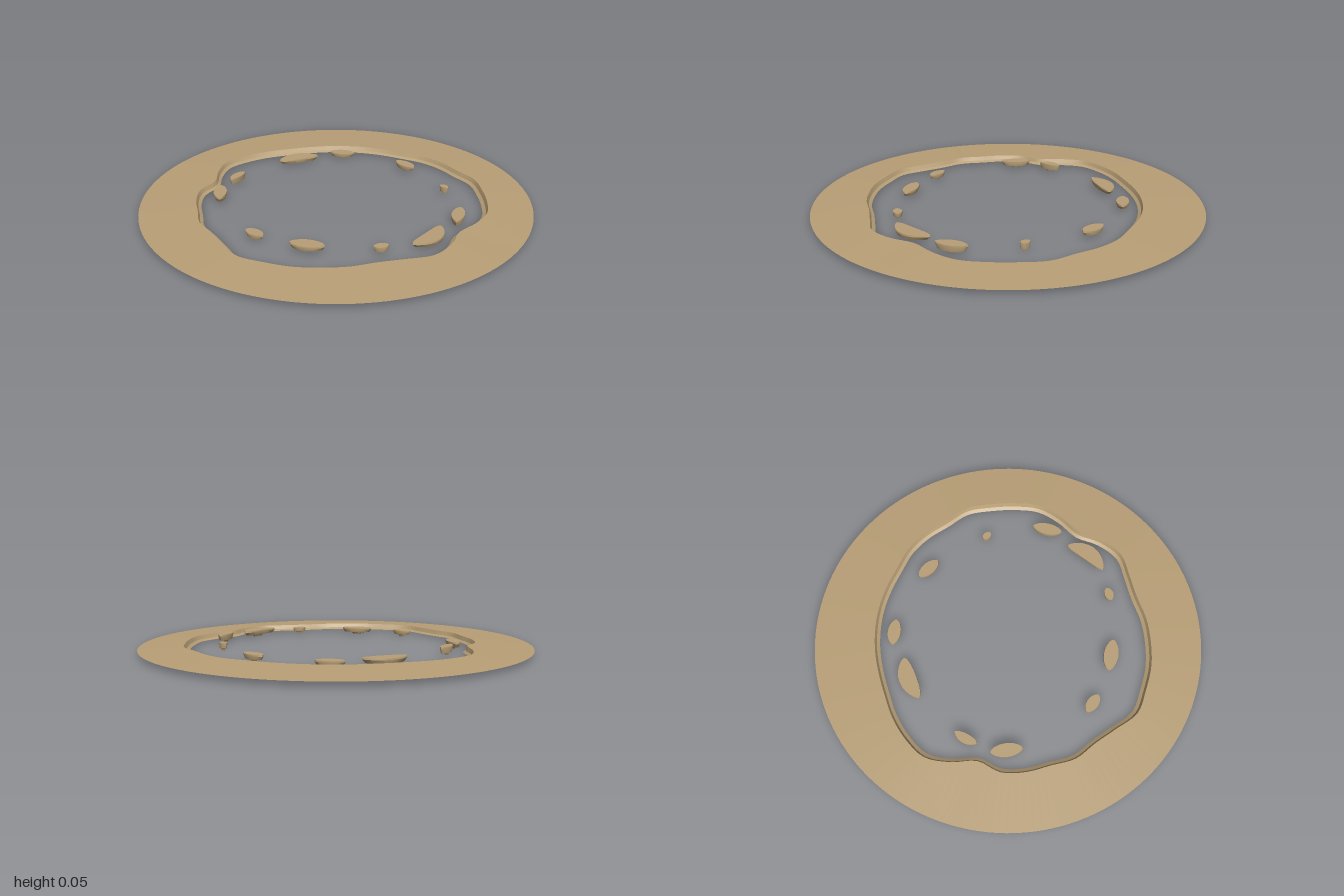
import * as THREE from 'three';
import { toCreasedNormals } from 'three/addons/utils/BufferGeometryUtils.js';

// Joins equal-length closed loops of points into a surface
function loft(rows) {
  const n = rows[0].length, pos = [], index = [];
  rows.forEach(row => row.forEach(p => pos.push(p.x, p.y, p.z)));
  for (let r = 0; r < rows.length - 1; r++) {
    for (let i = 0; i < n; i++) {
      const j = (i + 1) % n, a = r * n, b = a + n;
      index.push(a + i, b + i, a + j, b + i, b + j, a + j);
    }
  }
  const g = new THREE.BufferGeometry();
  g.setAttribute('position', new THREE.Float32BufferAttribute(pos, 3));
  g.setIndex(index);
  return toCreasedNormals(g, 0.5);
}

// Shrinks an outline towards a centre and sets its height
const level = (loop, centre, scale, y) =>
  loop.map(p => p.clone().sub(centre).multiplyScalar(scale).add(centre).setY(y));

// Shore radius every 10 degrees, from +x towards +z
const shoreRadii = [
  0.71, 0.745, 0.763, 0.728, 0.712, 0.727, 0.738, 0.751, 0.757,
  0.77, 0.732, 0.714, 0.726, 0.711, 0.717, 0.714, 0.675, 0.72,
  0.76, 0.747, 0.725, 0.70, 0.69, 0.689, 0.69, 0.693, 0.696,
  0.704, 0.729, 0.74, 0.745, 0.775, 0.771, 0.773, 0.776, 0.745,
];

// Smooth closed shoreline
function shoreline() {
  const points = shoreRadii.map((r, i) => {
    const t = i * Math.PI / 18;
    return new THREE.Vector3(r * Math.cos(t), 0, r * Math.sin(t));
  });
  return new THREE.CatmullRomCurve3(points, true).getPoints(144).slice(0, 144);
}

// Islets: x, z, half length, half width, angle in degrees, bend, top height
const islets = [
  [-0.308, -0.503, 0.070, 0.034, -27, 0, 0.037],
  [-0.478, -0.297, 0.115, 0.045, -55, 0.02, 0.038],
  [-0.575, 0.120, 0.063, 0.025, 85, -0.006, 0.045],
  [-0.512, 0.322, 0.082, 0.035, 50, 0, 0.04],
  [-0.078, 0.556, 0.055, 0.030, 3, 0, 0.036],
  [0.193, 0.505, 0.085, 0.038, -22, 0, 0.038],
  [0.480, 0.325, 0.037, 0.024, -50, 0, 0.037],
  [0.628, 0.112, 0.118, 0.043, 95, 0.03, 0.037],
  [0.627, -0.150, 0.080, 0.033, 71, 0, 0.045],
  [0.415, -0.404, 0.027, 0.019, 15, 0, 0.043],
  [0.085, -0.560, 0.068, 0.034, 13, 0, 0.038],
];

// Leaf-like islet outline with narrowed, optionally bent ends
function leaf(length, width, bend) {
  return Array.from({ length: 24 }, (_, i) => {
    const t = i * Math.PI / 12, c = Math.cos(t), s = Math.sin(t);
    return new THREE.Vector3(length * c, 0, width * s * Math.abs(s) ** 0.3 + bend * c * c);
  });
}

export function createModel() {
  const model = new THREE.Group();
  const sand = new THREE.MeshStandardMaterial({ color: 0xb89f76, side: THREE.DoubleSide });
  sand.name = 'sand';
  const add = (name, geometry) => {
    const mesh = new THREE.Mesh(geometry, sand);
    mesh.name = name;
    model.add(mesh);
    return mesh;
  };

  // Gently sloping land between the round outer edge and the shore
  const origin = new THREE.Vector3();
  const rim = shoreline();
  const edge = rim.map(p => p.clone().normalize().setY(0.022));
  add('land', loft([edge, level(rim, origin, 1, 0.034)]));

  // Bank dropping from the shore, with an inward foot
  const bank = [[1, 0.034], [0.988, 0.013], [0.966, 0.004]];
  add('bank', loft(bank.map(([s, y]) => level(rim, origin, s, y))));

  // Flat-topped islets, each tapering to a small keel
  for (const [x, z, length, width, angle, bend, top] of islets) {
    const loop = leaf(length, width, bend);
    const profile = [[0, 0], [0.25, 0], [0.35, 0.009], [0.85, 0.013], [1, top - 0.008], [0.98, top], [0, top]];
    const islet = add('islet', loft(profile.map(([s, y]) => level(loop, origin, s, y))));
    islet.position.set(x, 0, z);
    islet.rotation.y = -THREE.MathUtils.degToRad(angle);
  }
  return model;
}
